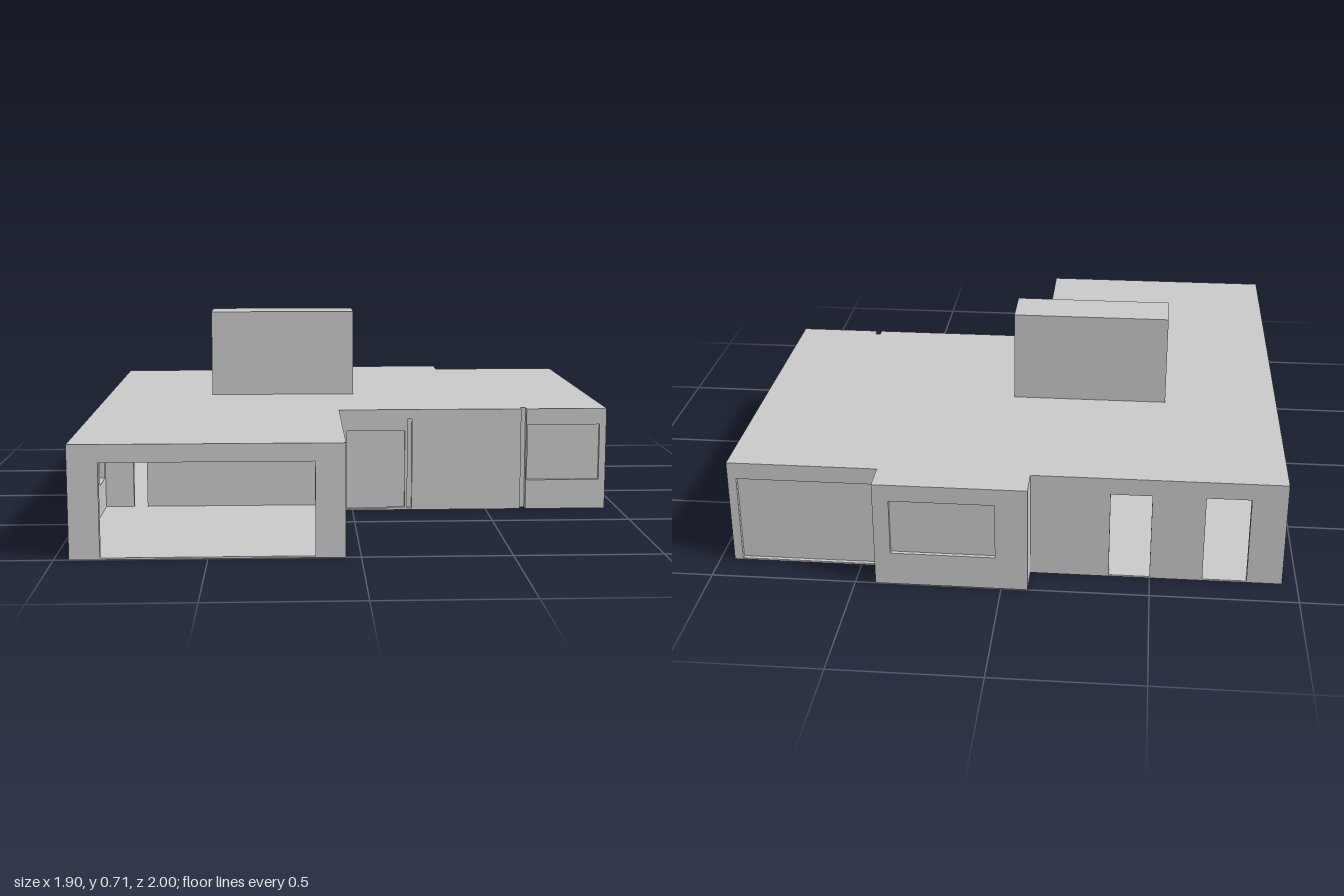
import * as THREE from 'three';

const plaster = new THREE.MeshStandardMaterial({ color: 0xc8c8c8 });
plaster.name = 'plaster grey';

const T = 0.025;        // wall thickness
const FLOOR = 0.006;    // floor slab thickness
const CEIL = 0.35;      // underside of the roof slab
const TOP = 0.38;       // top of the roof slab

// Axis-aligned box given by its two corners
function block(name, [x0, y0, z0], [x1, y1, z1]) {
  const g = new THREE.BoxGeometry(x1 - x0, y1 - y0, z1 - z0);
  g.translate((x0 + x1) / 2, (y0 + y1) / 2, (z0 + z1) / 2);
  const m = new THREE.Mesh(g, plaster);
  m.name = name;
  return m;
}

// Horizontal slab over an [x, z] outline
function slab(name, outline, y0, y1) {
  const shape = new THREE.Shape(outline.map(([x, z]) => new THREE.Vector2(x, -z)));
  const g = new THREE.ExtrudeGeometry(shape, { depth: y1 - y0, bevelEnabled: false });
  g.rotateX(-Math.PI / 2);
  g.translate(0, y0, 0);
  const m = new THREE.Mesh(g, plaster);
  m.name = name;
  return m;
}

// Wall whose outer face runs from p to q, with the outside on the right hand.
// Each opening is { a, b, y0, y1, pane }, a and b being world coordinates
// along the wall, and pane the recess depth of its filling (none = open).
function wall(name, p, q, openings = []) {
  const group = new THREE.Group();
  group.name = name;
  const dx = q[0] - p[0], dz = q[1] - p[1];
  const length = Math.hypot(dx, dz);
  const start = Math.abs(dx) > Math.abs(dz) ? p[0] : p[1];
  const cuts = openings.map((o) => {
    const u = [Math.abs(o.a - start), Math.abs(o.b - start)].sort((m, n) => m - n);
    return { ...o, u0: u[0], u1: u[1] };
  }).sort((m, n) => m.u0 - n.u0);

  const shape = new THREE.Shape();
  shape.moveTo(0, 0);
  for (const c of cuts) {
    if (c.y0 > 0) {
      // window hole
      const hole = new THREE.Path();
      hole.moveTo(c.u0, c.y0);
      hole.lineTo(c.u0, c.y1);
      hole.lineTo(c.u1, c.y1);
      hole.lineTo(c.u1, c.y0);
      hole.closePath();
      shape.holes.push(hole);
    } else {
      // doorway notch
      shape.lineTo(c.u0, 0);
      shape.lineTo(c.u0, c.y1);
      shape.lineTo(c.u1, c.y1);
      shape.lineTo(c.u1, 0);
    }
  }
  shape.lineTo(length, 0);
  shape.lineTo(length, CEIL);
  shape.lineTo(0, CEIL);
  shape.closePath();
  const g = new THREE.ExtrudeGeometry(shape, { depth: T, bevelEnabled: false });
  g.translate(0, 0, -T);
  const body = new THREE.Mesh(g, plaster);
  body.name = name + 'Body';
  group.add(body);

  for (const c of cuts) {
    if (c.pane === undefined) continue;
    group.add(block('pane', [c.u0, c.y0, -c.pane - 0.006], [c.u1, c.y1, -c.pane]));
    // overlapping leaf of a sliding door
    if (c.sliding) group.add(block('slidingLeaf', [c.u0, c.y0, -c.pane], [(c.u0 + c.u1) / 2, c.y1, -c.pane + 0.004]));
  }
  group.position.set(p[0], 0, p[1]);
  group.rotation.y = Math.atan2(-dz, dx);
  return group;
}

export function createModel() {
  const house = new THREE.Group();
  house.name = 'house';

  // Footprint with garage wing, rear bay and narrow front notch
  const outline = [
    [-0.95, 1], [-0.05, 1], [-0.05, 0.31], [0.63, 0.31], [0.63, 0.28], [0.65, 0.28], [0.65, 0.31],
    [0.95, 0.31], [0.95, -0.89], [0.43, -0.89], [0.43, -1], [-0.09, -1], [-0.09, -0.89], [-0.95, -0.89],
  ];
  house.add(slab('floor', outline, 0, FLOOR));
  house.add(slab('roof', outline, CEIL, TOP));

  // Outer walls, counter-clockwise from the garage front
  house.add(wall('garageFront', [-0.95, 1], [-0.05, 1], [{ a: -0.85, b: -0.15, y0: 0, y1: 0.32 }]));
  house.add(wall('garageSide', [-0.05, 1], [-0.05, 0.31]));
  house.add(wall('entranceWall', [-0.05, 0.31], [0.63, 0.31], [
    { a: -0.02, b: 0.195, y0: 0, y1: 0.3, pane: 0.012 },
    { a: 0.205, b: 0.222, y0: 0, y1: 0.345, pane: 0.018 },
  ]));
  house.add(wall('cornerWindowFront', [0.65, 0.31], [0.95, 0.31], [
    { a: 0.655, b: 0.93, y0: 0.11, y1: 0.32, pane: 0.014 },
  ]));
  house.add(wall('rightWall', [0.95, 0.31], [0.95, -0.89], [
    { a: 0.295, b: 0.16, y0: 0.11, y1: 0.32, pane: 0.014 },
    { a: -0.13, b: -0.55, y0: 0, y1: 0.32, pane: 0.012, sliding: true },
  ]));
  house.add(wall('patioWall', [0.95, -0.89], [0.43, -0.89], [
    { a: 0.92, b: 0.45, y0: 0, y1: 0.32, pane: 0.014 },
  ]));
  house.add(wall('bayLeft', [0.43, -0.89 + T], [0.43, -1]));
  house.add(wall('bayBack', [0.43, -1], [-0.09, -1], [
    { a: 0.375, b: 0.02, y0: 0.12, y1: 0.32, pane: 0.014 },
  ]));
  house.add(wall('bayRight', [-0.09, -1], [-0.09, -0.89 + T]));
  house.add(wall('backWall', [-0.09, -0.89], [-0.95, -0.89], [
    { a: -0.36, b: -0.5, y0: 0, y1: 0.32 },
    { a: -0.68, b: -0.83, y0: 0, y1: 0.32 },
  ]));
  house.add(wall('leftWall', [-0.95, -0.89], [-0.95, 1], [{ a: 0.26, b: 0.4, y0: 0.12, y1: 0.32 }]));

  // Closing pieces around the notch and the entrance step
  house.add(block('notchBack', [0.62, FLOOR, 0.26], [0.66, CEIL, 0.28]));
  house.add(block('notchSideRight', [0.62, FLOOR, 0.27], [0.63, CEIL, 0.3]));
  house.add(block('notchSideLeft', [0.65, FLOOR, 0.27], [0.654, CEIL, 0.3]));
  house.add(block('threshold', [0.13, 0, 0.29], [0.195, 0.01, 0.309]));

  // Inner walls
  house.add(wall('garageBack', [-0.95 + T, 0.24], [-0.05, 0.24], [{ a: -0.82, b: -0.77, y0: 0, y1: 0.285 }]));
  house.add(block('hallWall', [-0.075, FLOOR, 0.215], [-0.05, CEIL, 0.31]));
  house.add(block('roomWall', [-0.63, FLOOR, -0.87], [-0.605, CEIL, 0.22]));

  // Chimney, running from the floor through the roof
  house.add(block('chimney', [-0.54, FLOOR, -0.28], [0.02, 0.71, -0.11]));

  return house;
}
